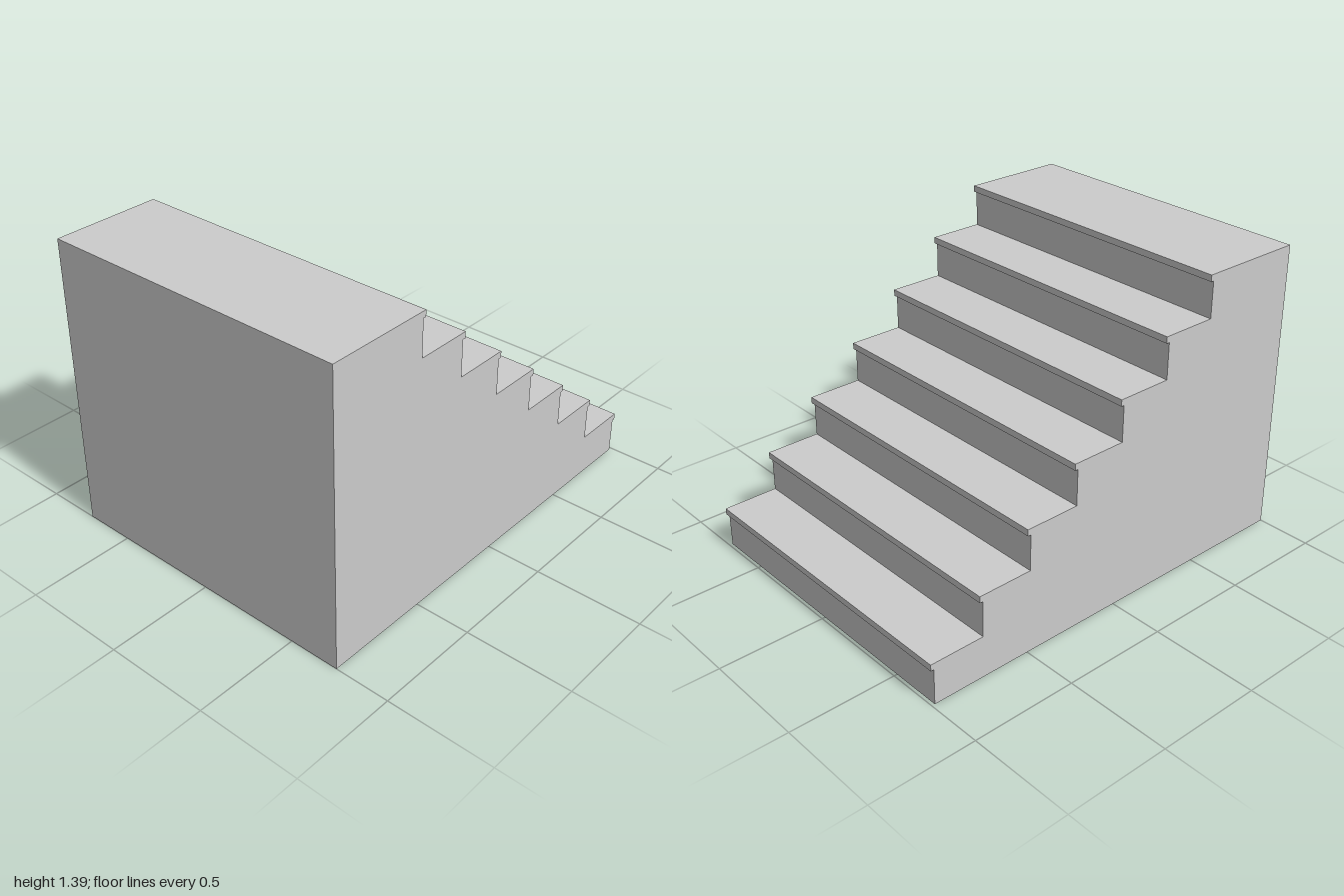
import * as THREE from 'three';

const STEPS = 7;
const RISE = 1.39 / STEPS;
const RUN = 0.2488;
const LIP = 0.015; // nosing overhang
const LIP_HEIGHT = 0.03;
const DEPTH = 1.48;

export function createModel() {
  const model = new THREE.Group();
  model.name = 'staircase';

  // Side profile: up the steps from the bottom riser, each with a projecting nosing
  const profile = new THREE.Shape();
  profile.moveTo(-1, 0);
  profile.lineTo(1 - LIP, 0);
  for (let i = 0; i < STEPS; i++) {
    const edge = 1 - i * RUN;
    const top = (i + 1) * RISE;
    profile.lineTo(edge - LIP, top - LIP_HEIGHT);
    profile.lineTo(edge, top - LIP_HEIGHT);
    profile.lineTo(edge, top);
    profile.lineTo(i < STEPS - 1 ? edge - RUN - LIP : -1, top);
  }
  profile.closePath();

  // Solid flight of steps, extruded across its width
  const geometry = new THREE.ExtrudeGeometry(profile, { depth: DEPTH, bevelEnabled: false });
  geometry.translate(0, 0, -DEPTH / 2);
  const stairs = new THREE.Mesh(
    geometry,
    new THREE.MeshStandardMaterial({ color: 0xcccccc, flatShading: true })
  );
  stairs.name = 'steps';
  model.add(stairs);
  return model;
}
